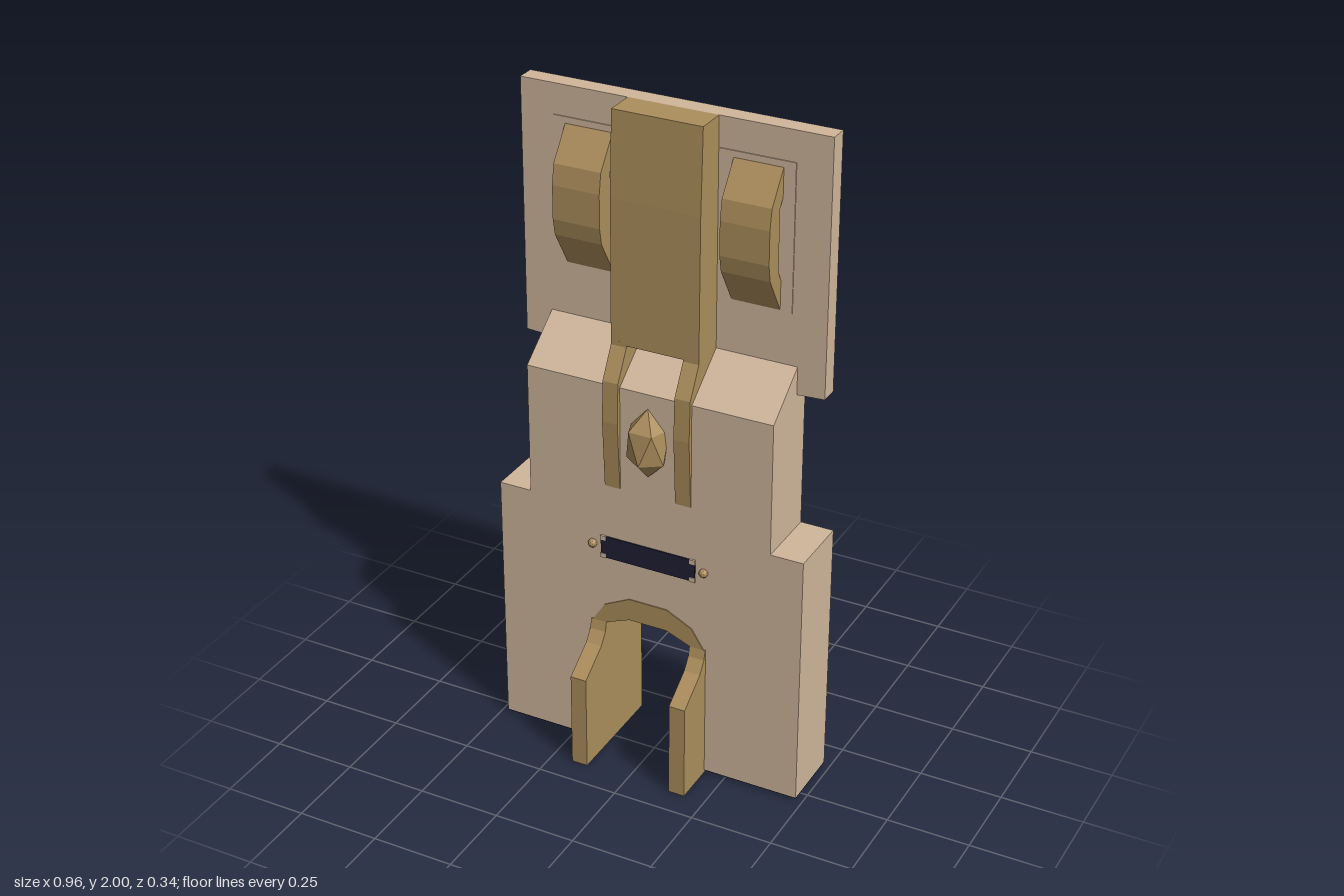
import * as THREE from 'three';

const mat = (name, color) => {
  const m = new THREE.MeshStandardMaterial({ color });
  m.name = name;
  m.flatShading = true;
  return m;
};

const shapeOf = (pts) => new THREE.Shape(pts.map(([x, y]) => new THREE.Vector2(x, y)));

// Outline in x/y, extruded from z0 to z1
function slab(pts, z0, z1, holes = []) {
  const s = shapeOf(pts);
  holes.forEach((h) => s.holes.push(shapeOf(h)));
  return new THREE.ExtrudeGeometry(s, { depth: z1 - z0, bevelEnabled: false }).translate(0, 0, z0);
}

// Side profile in z/y, extruded across x from x0 to x1
function profile(pts, x0, x1) {
  return new THREE.ExtrudeGeometry(shapeOf(pts), { depth: x1 - x0, bevelEnabled: false })
    .rotateY(-Math.PI / 2).translate(x1, 0, 0);
}

// Complete a right-hand (x > 0) outline by mirroring it
const mirrored = (half) => [...half, ...half.map(([x, y]) => [-x, y]).reverse()];

export function createModel() {
  const group = new THREE.Group();
  const tan = mat('tan', 0xd0b69c);
  const gold = mat('old gold', 0xac8e5c);
  const navy = mat('dark navy', 0x1e1e34);
  const add = (name, geo, material) => {
    const m = new THREE.Mesh(geo, material);
    m.name = name;
    group.add(m);
    return m;
  };
  const box = (name, w, h, d, x, y, z, material) =>
    add(name, new THREE.BoxGeometry(w, h, d).translate(x, y, z), material);

  // Doorway outlines: opening, wall cut, outer lining
  const inner = [[0.135, 0], [0.135, 0.43], [0.06, 0.46]];
  const cut = [[0.06, 0.5], [0.12, 0.475], [0.16, 0.43], [0.16, 0.01]];
  const outer = [[0.06, 0.53], [0.14, 0.49], [0.185, 0.42], [0.185, 0]];

  // Rear layer: full outline with a slot in the back
  const slot = [[-0.18, 1.225], [0.18, 1.225], [0.18, 1.3], [-0.18, 1.3]];
  add('backWall', slab(mirrored([
    ...cut, [0.48, 0.01], [0.48, 0.805], [0.38, 0.805], [0.38, 1.235],
    [0.463, 1.24], [0.463, 2],
  ]), -0.16, -0.105, [slot]), tan);
  box('slotCeiling', 0.36, 0.004, 0.055, 0, 1.298, -0.1325, navy);

  // Front layer, with a sloped shoulder on top
  add('frontWall', slab(mirrored([
    ...cut, [0.48, 0.01], [0.48, 0.805], [0.38, 0.805], [0.38, 1.21],
  ]), -0.105, 0.04), tan);
  add('shoulder', profile([[-0.105, 1.21], [0.04, 1.21], [-0.105, 1.32]], -0.38, 0.38), tan);

  // Doorway lining
  add('doorArch', slab(mirrored([...inner, ...[]].reverse().concat([...outer].reverse()).length
    ? [...inner].reverse().concat([...outer].reverse()) && archHalf(inner, outer) : []), -0.175, 0.043), gold);

  for (const s of [-1, 1]) {
    const across = (pts, a, b) => profile(pts, Math.min(s * a, s * b), Math.max(s * a, s * b));

    // Projecting door cheek
    add('doorCheek', across([
      [0.03, 0], [0.17, 0], [0.17, 0.3], [0.075, 0.365], [0.05, 0.4], [0.043, 0.43], [0.03, 0.43],
    ], 0.135, 0.185), gold);

    // Prong running down from the post
    add('prong', across([
      [0, 1.33], [0, 1.315], [0.05, 1.225], [0.055, 1.1], [0.043, 0.89],
      [0.02, 0.89], [0.02, 1.2], [-0.105, 1.3], [-0.105, 1.33],
    ], 0.087, 0.135), gold);

    // Bent strap on its panel
    add('strap', across([
      [-0.105, 1.895], [-0.105, 1.81], [-0.085, 1.78], [-0.085, 1.6], [-0.105, 1.56],
      [-0.105, 1.475], [-0.035, 1.59], [-0.025, 1.64], [-0.025, 1.74], [-0.035, 1.8],
    ].reverse(), 0.18, 0.325), gold);
    box('strapPanel', 0.22, 0.435, 0.004, s * 0.25, 1.6925, -0.104, tan);

    // Stud beside the grille and dark underside
    add('stud', new THREE.IcosahedronGeometry(0.014, 1).translate(s * 0.177, 0.688, 0.043), gold);
    box('underside', 0.295, 0.004, 0.198, s * 0.3325, 0.009, -0.06, navy);

    // Grille corner tabs
    for (const y of [0.657, 0.715])
      box('grilleCorner', 0.018, 0.014, 0.008, s * 0.142, y, 0.042, tan);
  }

  // Grille
  box('grille', 0.3, 0.07, 0.006, 0, 0.686, 0.041, navy);

  // Central post, underside tilted forward
  add('post', profile([
    [-0.105, 1.3], [0, 1.32], [-0.003, 1.75], [-0.013, 2], [-0.105, 2],
  ], -0.135, 0.135), gold);

  // Faceted gem with a vertex at each pole
  add('gem', new THREE.IcosahedronGeometry(1, 0)
    .rotateZ(Math.PI / 2 - Math.atan((1 + Math.sqrt(5)) / 2))
    .rotateY(-Math.PI / 2).scale(0.068, 0.108, 0.065).translate(0, 1.058, 0.04), gold);

  return group;
}

// Closed band between the two doorway outlines, as a half to be mirrored
function archHalf(inner, outer) {
  return [...inner].reverse().concat([...outer].reverse());
}
